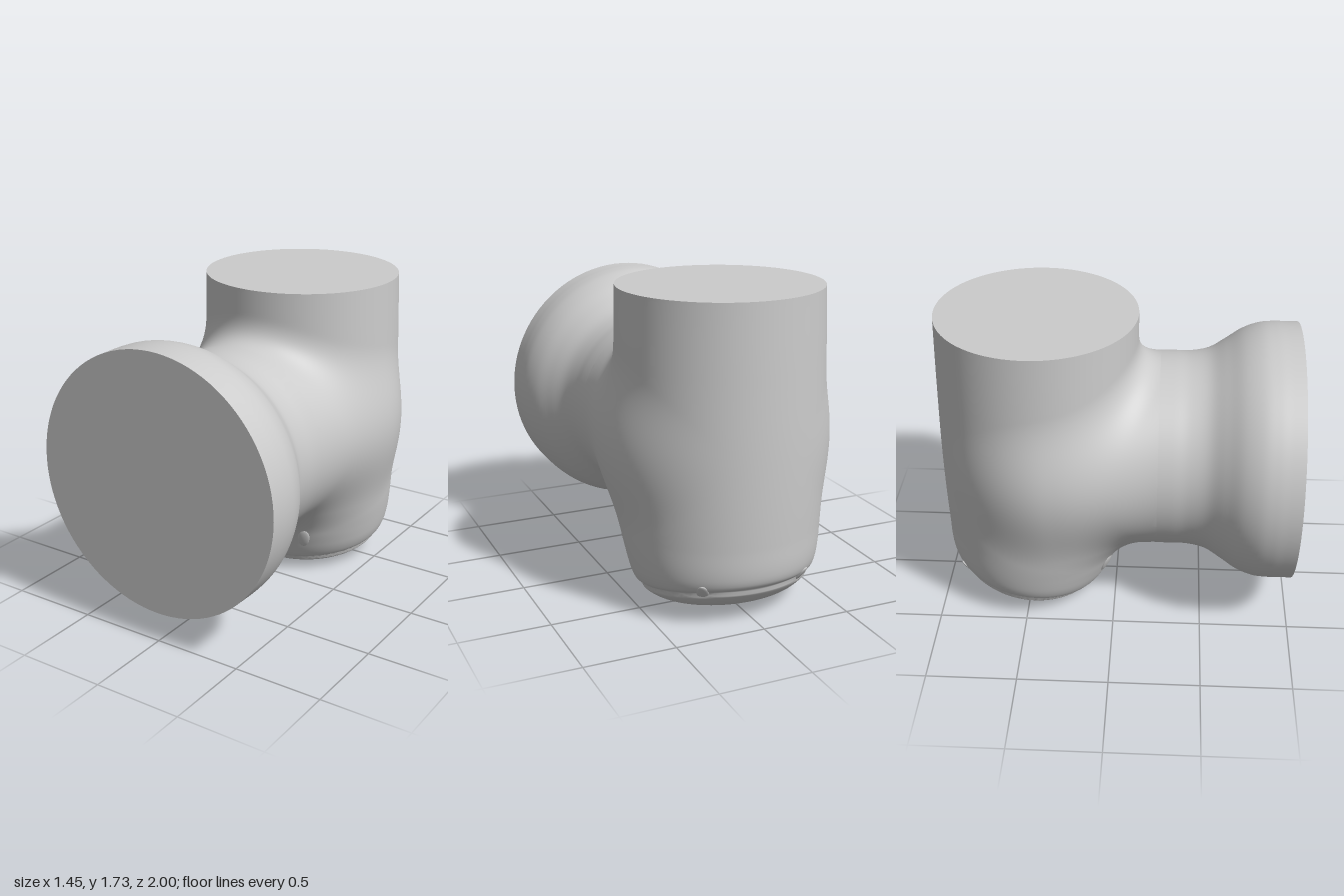
import * as THREE from 'three';
import { mergeVertices } from 'three/addons/utils/BufferGeometryUtils.js';

const NECK_Y = 0.9, TOP_Y = 1.74, AXIS_Z = -0.435, TOP_R = 0.5535;
const CENTRE = new THREE.Vector3(0, NECK_Y, AXIS_Z);

// Upright column by height: half width, half depth, centre z
const column = new THREE.CubicInterpolant(
  [0, 0.15, 0.28, 0.45, 0.9, 1.35, TOP_Y],
  [
    0.46, 0.41, -0.49,
    0.50, 0.455, -0.485,
    0.53, 0.505, -0.475,
    0.555, 0.545, -0.445,
    0.575, 0.56, -0.44,
    0.565, 0.558, -0.438,
    TOP_R, TOP_R, AXIS_Z,
  ], 3, new Float32Array(3));

// Blends: smooth union and smooth intersection
const smin = (a, b, k) => {
  const h = Math.max(k - Math.abs(a - b), 0) / k;
  return Math.min(a, b) - h * h * k / 4;
};
const smax = (a, b, k) => -smin(-a, -b, k);

// Signed field of the elbow: column with a tilted base, filleted to the neck
function field(p) {
  const { x, y, z } = p;
  const [hw, hd, cz] = column.evaluate(y);
  let col = (Math.hypot(x / hw, (z - cz) / hd) - 1) * hd;
  const base = -0.022 - 0.11 * z - y;
  col = smax(col, base, 0.2);
  // fine groove around the base
  const t = y - (0.06 - 0.174 * (z + 0.06));
  col += 0.012 * Math.exp(-((t / 0.014) ** 2));

  const swell = 0.548 + 0.077 * THREE.MathUtils.smoothstep(-z, -0.28, 0.3);
  const neck = (Math.hypot(x / swell, (y - NECK_Y) / 0.548, Math.min(z + 0.35, 0) / 0.5) - 1) * 0.55;
  return Math.max(smin(col, neck, 0.15), z - 0.35);
}

// Outer surface point along a direction from the centre
function surfacePoint(dir) {
  let lo = 0, hi = 1.6;
  const p = new THREE.Vector3();
  for (let i = 0; i < 26; i++) {
    const mid = (lo + hi) / 2;
    p.copy(CENTRE).addScaledVector(dir, mid);
    if (field(p) < 0) lo = mid; else hi = mid;
  }
  return p;
}

function surfaceNormal(p) {
  const e = 0.01, n = new THREE.Vector3();
  for (const a of ['x', 'y', 'z']) {
    const q = p.clone();
    q[a] += e;
    const up = field(q);
    q[a] -= 2 * e;
    n[a] = up - field(q);
  }
  return n.normalize();
}

function elbowGeometry() {
  const geo = new THREE.PlaneGeometry(1, 1, 120, 200);
  const { position, uv } = geo.attributes;
  const phi0 = Math.atan2(TOP_R, TOP_Y - NECK_Y);
  const dir = new THREE.Vector3();
  for (let i = 0; i < position.count; i++) {
    const theta = (uv.getX(i) * 2 - 1) * Math.PI;
    const phi = phi0 + (1 - uv.getY(i)) * (Math.PI - phi0);
    dir.setFromSphericalCoords(1, phi, theta);
    const p = surfacePoint(dir);
    position.setXYZ(i, p.x, p.y, p.z);
  }
  geo.deleteAttribute('uv');
  geo.deleteAttribute('normal');
  const merged = mergeVertices(geo, 1e-5);
  merged.computeVertexNormals();
  return merged;
}

export function createModel() {
  const group = new THREE.Group();
  const material = new THREE.MeshStandardMaterial({ color: 0xcccccc });
  const add = (name, geometry) => {
    const mesh = new THREE.Mesh(geometry, material);
    mesh.name = name;
    group.add(mesh);
    return mesh;
  };

  // Upright elbow and its flat top
  add('elbowBody', elbowGeometry());
  const top = add('topCap', new THREE.CircleGeometry(TOP_R, 120));
  top.rotation.x = -Math.PI / 2;
  top.position.set(0, TOP_Y, AXIS_Z);

  // Neck flaring out to the front flange
  const curve = new THREE.SplineCurve([
    [0.55, 0.24], [0.55, 0.32], [0.551, 0.41], [0.572, 0.51], [0.625, 0.6],
    [0.683, 0.69], [0.717, 0.78], [0.726, 0.86], [0.726, 0.93], [0.726, 1],
  ].map(([r, z]) => new THREE.Vector2(r, z)));
  const flare = new THREE.LatheGeometry(curve.getPoints(48), 96);
  flare.rotateX(Math.PI / 2);
  add('flaredNeck', flare).position.y = NECK_Y;
  add('frontCap', new THREE.CircleGeometry(0.726, 96)).position.set(0, NECK_Y, 1);

  // Four small slots around the base, set flush with the wall
  const slot = new THREE.SphereGeometry(1, 20, 14);
  for (const side of [-1, 1]) {
    for (const z of [-0.02, -0.85]) {
      const dir = new THREE.Vector3(side * 0.285, 0.2, z).sub(CENTRE).normalize();
      const p = surfacePoint(dir);
      const n = surfaceNormal(p);
      const mesh = add(z > -0.4 ? 'frontSlot' : 'backSlot', slot);
      mesh.position.copy(p);
      mesh.scale.set(0.034, 0.07, 0.012);
      mesh.lookAt(p.clone().add(n));
    }
  }
  return group;
}
